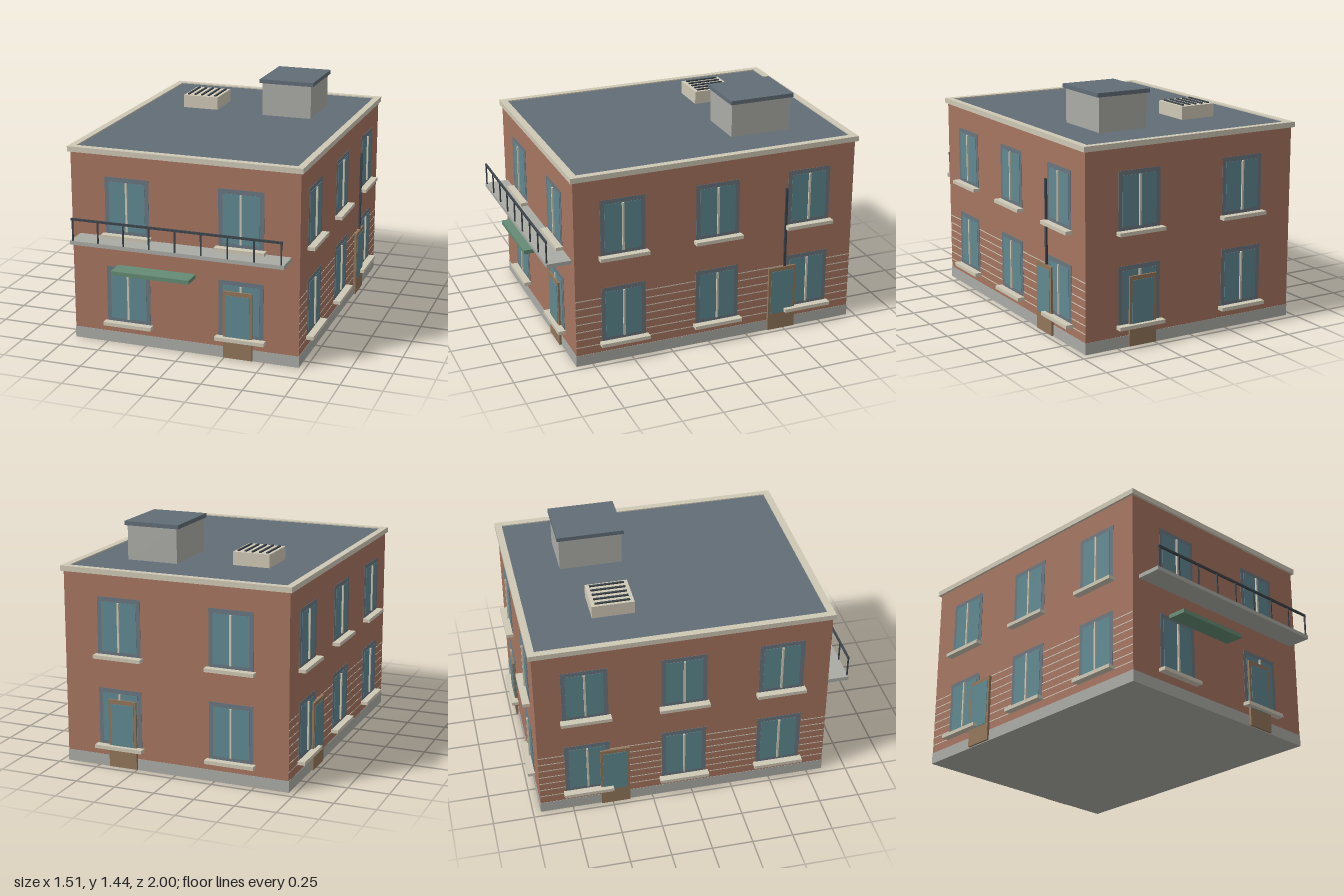
import * as THREE from 'three';

const mat = (color) => new THREE.MeshStandardMaterial({ color });
const BRICK = mat(0xa67560), TRIM = mat(0xcfc8b5), STONE = mat(0xababa6), SLATE = mat(0x626d77),
  GLASS = mat(0x5f8991), FRAME = mat(0x6a7680), WOOD = mat(0x93765a), IRON = mat(0x3d454c), GREEN = mat(0x648b74);

// Box given by its minimum and maximum on each axis
function box(parent, name, material, [x0, x1], [y0, y1], [z0, z1]) {
  const mesh = new THREE.Mesh(new THREE.BoxGeometry(x1 - x0, y1 - y0, z1 - z0), material);
  mesh.position.set((x0 + x1) / 2, (y0 + y1) / 2, (z0 + z1) / 2);
  mesh.name = name;
  parent.add(mesh);
  return mesh;
}

// Window facing +z, wall surface at z = 0, bottom of the frame at y = 0
function makeWindow() {
  const g = new THREE.Group();
  g.name = 'window';
  box(g, 'windowFrame', FRAME, [-0.139, 0.139], [0, 0.355], [-0.01, 0.002]);
  box(g, 'windowGlass', GLASS, [-0.113, 0.113], [0.028, 0.327], [-0.01, 0.004]);
  box(g, 'windowMullion', TRIM, [-0.006, 0.006], [0.028, 0.327], [0.004, 0.014]);
  box(g, 'windowSill', TRIM, [-0.153, 0.153], [-0.015, 0.007], [-0.01, 0.045]);
  return g;
}

// Door facing +z, standing just above the ground
function makeDoor() {
  const g = new THREE.Group();
  g.name = 'door';
  box(g, 'doorLeaf', WOOD, [-0.09, 0.09], [0.005, 0.425], [0, 0.016]);
  box(g, 'doorGlass', GLASS, [-0.074, 0.074], [0.115, 0.4], [0.005, 0.0185]);
  return g;
}

export function createModel() {
  const house = new THREE.Group();
  house.name = 'house';
  const W = 0.71, FRONT = 0.85, BACK = -0.95;

  // Walls and plinth
  box(house, 'walls', BRICK, [-W, W], [0.03, 1.185], [BACK, FRONT]);
  box(house, 'plinth', STONE, [-W - 0.002, W + 0.002], [0, 0.07], [BACK - 0.002, FRONT + 0.002]);

  // Roof deck inside a raised trim
  box(house, 'roofDeck', SLATE, [-0.69, 0.69], [1.17, 1.205], [-0.93, 0.83]);
  const rim = new THREE.Shape();
  rim.moveTo(-0.725, -0.865).lineTo(0.725, -0.865).lineTo(0.725, 0.967).lineTo(-0.725, 0.967).closePath();
  const hole = new THREE.Path();
  hole.moveTo(-0.683, -0.82).lineTo(-0.683, 0.925).lineTo(0.683, 0.925).lineTo(0.683, -0.82).closePath();
  rim.holes.push(hole);
  const trim = new THREE.Mesh(new THREE.ExtrudeGeometry(rim, { depth: 0.032, bevelEnabled: false }), TRIM);
  trim.rotation.x = -Math.PI / 2;
  trim.position.y = 1.18;
  trim.name = 'roofTrim';
  house.add(trim);

  // Windows and one door on each of the four walls
  const walls = [
    { turn: 0, at: (u) => [u, FRONT], windows: [-0.355, 0.355], door: 0.337 },
    { turn: Math.PI, at: (u) => [u, BACK], windows: [-0.355, 0.355], door: 0.337 },
    { turn: Math.PI / 2, at: (u) => [W, u], windows: [-0.65, -0.05, 0.55], door: -0.482 },
    { turn: -Math.PI / 2, at: (u) => [-W, u], windows: [-0.65, -0.05, 0.55], door: -0.482 },
  ];
  for (const wall of walls) {
    const place = (part, u, y) => {
      const [x, z] = wall.at(u);
      part.position.set(x, y, z);
      part.rotation.y = wall.turn;
      house.add(part);
    };
    for (const u of wall.windows) for (const y of [0.133, 0.69]) place(makeWindow(), u, y);
    place(makeDoor(), wall.door, 0);
  }

  // Thin mortar courses along the two side walls
  for (const side of [-1, 1]) {
    for (let i = 0; i < 7; i++) {
      const y = 0.122 + i * 0.0505;
      const x = side * W;
      box(house, 'mortarCourse', TRIM, [x - 0.001, x + 0.001], [y - 0.003, y + 0.003], [BACK, FRONT]);
    }
  }

  // Balcony with railing
  const balcony = new THREE.Group();
  balcony.name = 'balcony';
  house.add(balcony);
  box(balcony, 'balconySlab', STONE, [-0.66, 0.66], [0.652, 0.676], [FRONT, 1]);
  box(balcony, 'handrail', IRON, [-0.65, 0.65], [0.803, 0.816], [0.989, 1]);
  for (let i = 0; i < 9; i++) {
    const x = -0.642 + i * 0.1605;
    box(balcony, 'railingPost', IRON, [x - 0.004, x + 0.004], [0.676, 0.805], [0.991, 0.999]);
  }

  // Awning and downpipe
  box(house, 'awning', GREEN, [-0.42, 0.073], [0.478, 0.502], [FRONT, 0.967]);
  box(house, 'downpipe', IRON, [W - 0.004, W + 0.012], [0.005, 0.942], [-0.507, -0.492]);

  // Stair house on the roof
  box(house, 'roofHouse', STONE, [0.12, 0.44], [1.2, 1.415], [-0.642, -0.253]);
  box(house, 'roofHouseLid', SLATE, [0.104, 0.456], [1.415, 1.44], [-0.654, -0.24]);

  // Roof vent with slats
  box(house, 'roofVent', TRIM, [-0.429, -0.197], [1.2, 1.286], [-0.543, -0.285]);
  for (let i = 0; i < 5; i++) {
    const x = -0.404 + i * 0.0455;
    box(house, 'ventSlat', IRON, [x - 0.006, x + 0.006], [1.28, 1.294], [-0.52, -0.308]);
  }
  return house;
}
